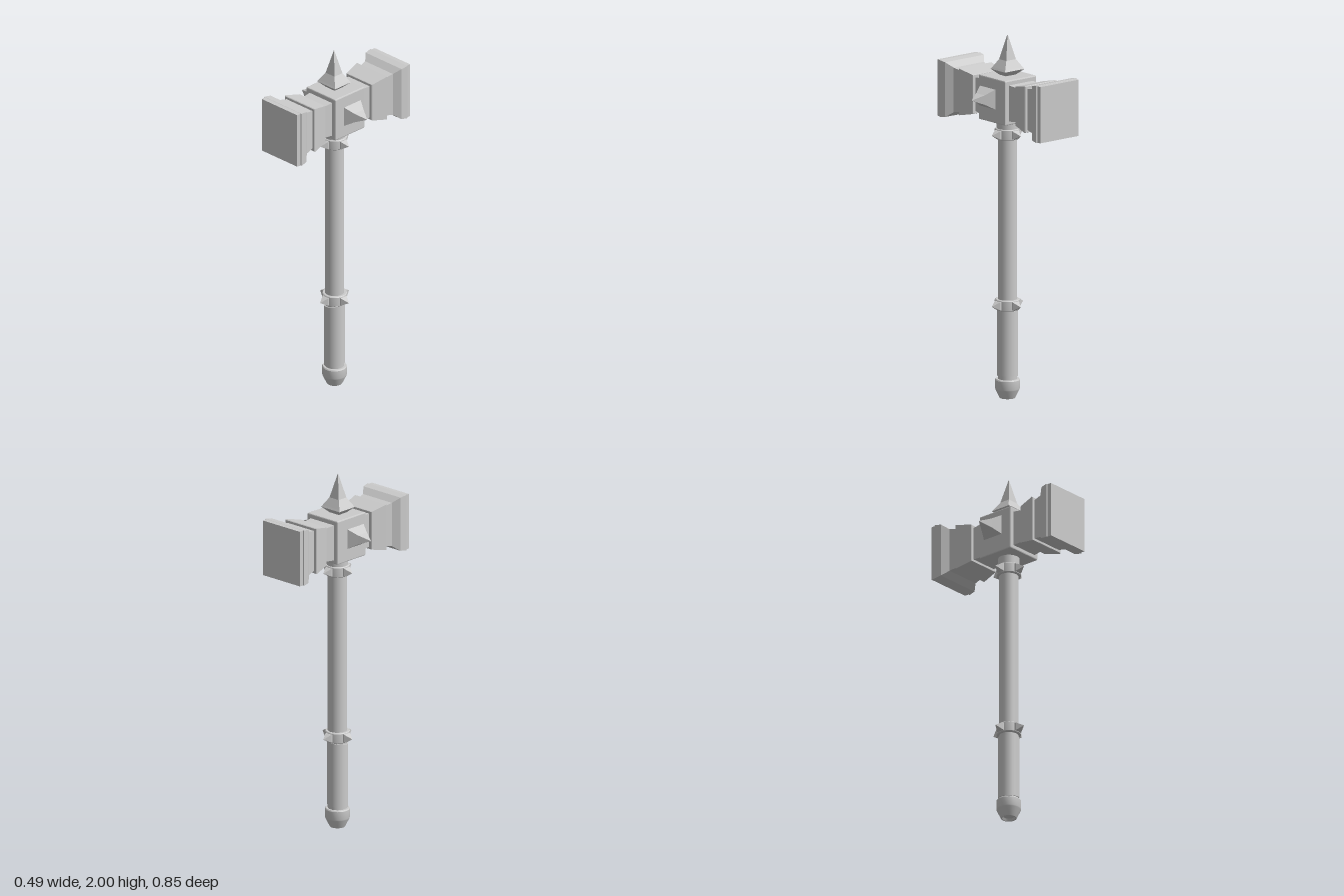
import * as THREE from 'three';
import { toCreasedNormals } from 'three/addons/utils/BufferGeometryUtils.js';
import { RoundedBoxGeometry } from 'three/addons/geometries/RoundedBoxGeometry.js';

const flat = new THREE.MeshStandardMaterial({ color: 0xcccccc, flatShading: true });
const smooth = new THREE.MeshStandardMaterial({ color: 0xcccccc });

function add(parent, name, geometry, material, x = 0, y = 0, z = 0) {
  const mesh = new THREE.Mesh(geometry, material);
  mesh.name = name;
  mesh.position.set(x, y, z);
  parent.add(mesh);
  return mesh;
}

// Rectangular cross-sections [z, halfWidth, halfHeight] joined along z, capped at both ends
function loft(sections) {
  const corners = [[1, 1], [-1, 1], [-1, -1], [1, -1]];
  const pos = [], idx = [];
  for (const [z, hx, hy] of sections)
    for (const [sx, sy] of corners) pos.push(sx * hx, sy * hy, z);
  const last = (sections.length - 1) * 4;
  for (let i = 0; i < last; i += 4)
    for (let k = 0; k < 4; k++) {
      const n = (k + 1) % 4;
      idx.push(i + k, i + n, i + 4 + n, i + k, i + 4 + n, i + 4 + k);
    }
  idx.push(0, 2, 1, 0, 3, 2, last, last + 1, last + 2, last, last + 2, last + 3);
  const g = new THREE.BufferGeometry();
  g.setAttribute('position', new THREE.Float32BufferAttribute(pos, 3));
  g.setIndex(idx);
  const out = g.toNonIndexed();
  out.computeVertexNormals();
  return out;
}

// Turned part with crisp edges between its bands
function turned(points, segments = 24) {
  const g = new THREE.LatheGeometry(points.map(([r, y]) => new THREE.Vector2(r, y)), segments);
  return toCreasedNormals(g, 0.5);
}

export function createModel() {
  const model = new THREE.Group();
  model.name = 'warHammer';

  // Handle: shaft, grip, pommel and two studded collars
  const handle = new THREE.Group();
  handle.name = 'handle';
  handle.position.set(-0.003, 0, 0.008);
  model.add(handle);
  add(handle, 'shaft', new THREE.CylinderGeometry(0.052, 0.052, 1.5, 24), smooth, 0, 0.82, 0);
  add(handle, 'shaftTop', new THREE.CylinderGeometry(0.058, 0.058, 0.07, 24), smooth, 0, 1.515, 0);

  // Wrapped grip with slightly slanted ends
  const grip = new THREE.CylinderGeometry(0.057, 0.057, 0.36, 24);
  const p = grip.attributes.position;
  for (let i = 0; i < p.count; i++) p.setY(i, p.getY(i) + 0.12 * p.getX(i) - 0.1 * p.getZ(i));
  add(handle, 'grip', grip, smooth, 0, 0.3, 0);

  add(handle, 'pommel', turned([
    [0, 0.012], [0.03, 0.012], [0.036, 0], [0.042, 0], [0.065, 0.047],
    [0.067, 0.053], [0.067, 0.1], [0.063, 0.106], [0.05, 0.106],
  ]), smooth);

  const stud = loft([[0.055, 0.023, 0.023], [0.07, 0.022, 0.022], [0.108, 0.001, 0.001]]);
  for (const y of [0.517, 1.46]) {
    const collar = new THREE.Group();
    collar.name = 'studdedCollar';
    collar.position.y = y;
    handle.add(collar);
    add(collar, 'collarBand', turned([
      [0.05, -0.029], [0.063, -0.029], [0.067, -0.025],
      [0.067, 0.025], [0.063, 0.029], [0.05, 0.029],
    ]), smooth);
    for (let i = 0; i < 4; i++) add(collar, 'stud', stud, flat).rotation.y = i * Math.PI / 2;
  }

  // Head: central block with a stepped, flared hammer on each side
  const head = new THREE.Group();
  head.name = 'head';
  head.position.y = 1.656;
  model.add(head);
  add(head, 'centreBlock', new RoundedBoxGeometry(0.222, 0.246, 0.222, 1, 0.006), flat, 0, 0.002, 0.004);

  const neck = loft([[0.1, 0.086, 0.1], [0.19, 0.079, 0.092]]);
  const ring = loft([[0.175, 0.096, 0.106], [0.178, 0.098, 0.108], [0.272, 0.115, 0.129], [0.276, 0.112, 0.126]]);
  const face = loft([
    [0.265, 0.096, 0.111], [0.325, 0.106, 0.123], [0.36, 0.137, 0.151],
    [0.4, 0.142, 0.157], [0.402, 0.136, 0.156], [0.427, 0.135, 0.155],
  ]);
  for (const angle of [0, Math.PI]) {
    const side = new THREE.Group();
    side.name = angle ? 'backHammer' : 'frontHammer';
    side.rotation.y = angle;
    head.add(side);
    add(side, 'neck', neck, flat);
    add(side, 'ring', ring, flat);
    add(side, 'strikingFace', face, flat);
  }

  // Spikes on the top and both sides, each flaring from a narrow foot
  const topSpike = loft([
    [0.11, 0.035, 0.03], [0.126, 0.035, 0.03], [0.156, 0.068, 0.06],
    [0.166, 0.062, 0.054], [0.21, 0.034, 0.03], [0.344, 0.001, 0.001],
  ]);
  add(head, 'topSpike', topSpike, flat, -0.005, 0, 0.01).rotation.x = -Math.PI / 2;

  const sideSpike = loft([
    [0.1, 0.032, 0.03], [0.112, 0.034, 0.03], [0.135, 0.063, 0.055],
    [0.185, 0.035, 0.026], [0.247, 0.001, 0.001],
  ]);
  for (const s of [1, -1])
    add(head, s > 0 ? 'leftSpike' : 'rightSpike', sideSpike, flat, 0, 0.019, 0.01).rotation.y = s * Math.PI / 2;

  return model;
}
